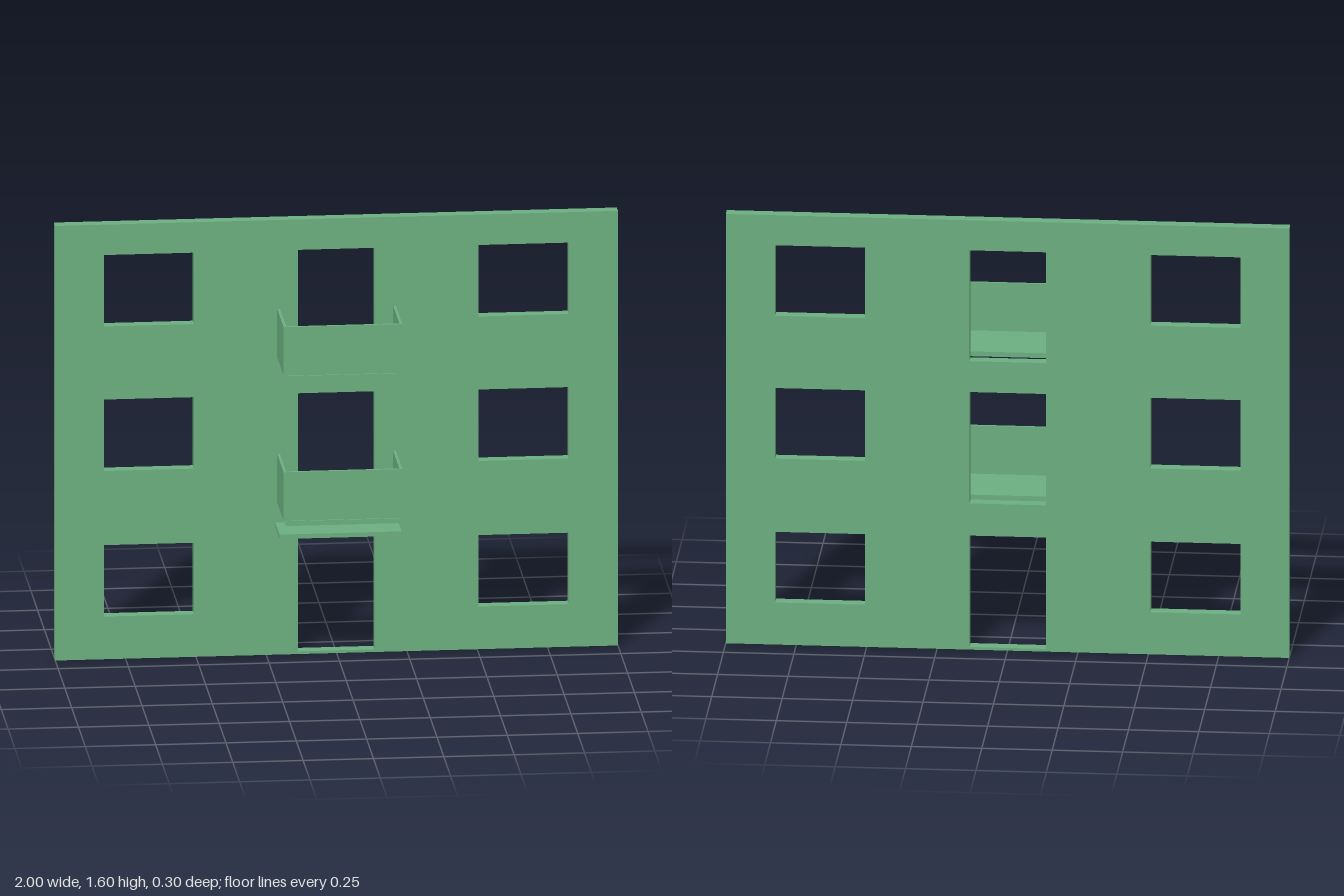
import * as THREE from 'three';

const WALL_FRONT = -0.104;
const WALL_BACK = -0.148;

export function createModel() {
  const model = new THREE.Group();
  const green = new THREE.MeshStandardMaterial({ color: 0x6cb080 });
  green.name = 'facade green';

  const add = (parent, geometry, name) => {
    const mesh = new THREE.Mesh(geometry, green);
    mesh.name = name;
    parent.add(mesh);
  };
  // Box given by its limits on each axis
  const box = (parent, name, x0, x1, y0, y1, z0, z1) => {
    const g = new THREE.BoxGeometry(x1 - x0, y1 - y0, z1 - z0);
    g.translate((x0 + x1) / 2, (y0 + y1) / 2, (z0 + z1) / 2);
    add(parent, g, name);
  };
  const polygon = (points) => new THREE.Shape(points.map(([x, y]) => new THREE.Vector2(x, y)));
  const rect = (x0, x1, y0, y1) => polygon([[x0, y0], [x1, y0], [x1, y1], [x0, y1]]);
  const extrude = (shape, z0, z1) =>
    new THREE.ExtrudeGeometry(shape, { depth: z1 - z0, bevelEnabled: false }).translate(0, 0, z0);

  // Wall with three floors of windows and a column of doors
  const wall = rect(-1, 1, 0, 1.6);
  const windows = [[0.157, 0.42], [0.693, 0.956], [1.225, 1.488]];
  const doors = [[0.01, 0.425], [0.545, 0.96], [1.075, 1.488]];
  for (const [y0, y1] of windows) {
    wall.holes.push(rect(-0.827, -0.507, y0, y1), rect(0.505, 0.825, y0, y1));
  }
  for (const [y0, y1] of doors) wall.holes.push(rect(-0.137, 0.135, y0, y1));
  add(model, extrude(wall, WALL_BACK, WALL_FRONT), 'wall');

  // Balconies: slab with tapered ends and three thin parapet panels
  [0.545, 1.079].forEach((y, i) => {
    const balcony = new THREE.Group();
    balcony.name = i ? 'upperBalcony' : 'lowerBalcony';
    const slab = polygon([[-0.204, y], [0.202, y], [0.209, y + 0.018], [-0.211, y + 0.018]]);
    add(balcony, extrude(slab, WALL_FRONT, 0.148), 'balconyFloor');
    const y0 = y + 0.018, y1 = y + 0.197;
    box(balcony, 'frontParapet', -0.212, 0.21, y0, y1, 0.132, 0.143);
    box(balcony, 'rightParapet', -0.212, -0.202, y0, y1, -0.093, 0.132);
    box(balcony, 'leftParapet', 0.2, 0.21, y0, y1, -0.093, 0.132);
    model.add(balcony);
  });

  // Canopy over the entrance
  box(model, 'entranceCanopy', -0.218, 0.216, 0.472, 0.486, WALL_FRONT, 0.05);

  return model;
}
